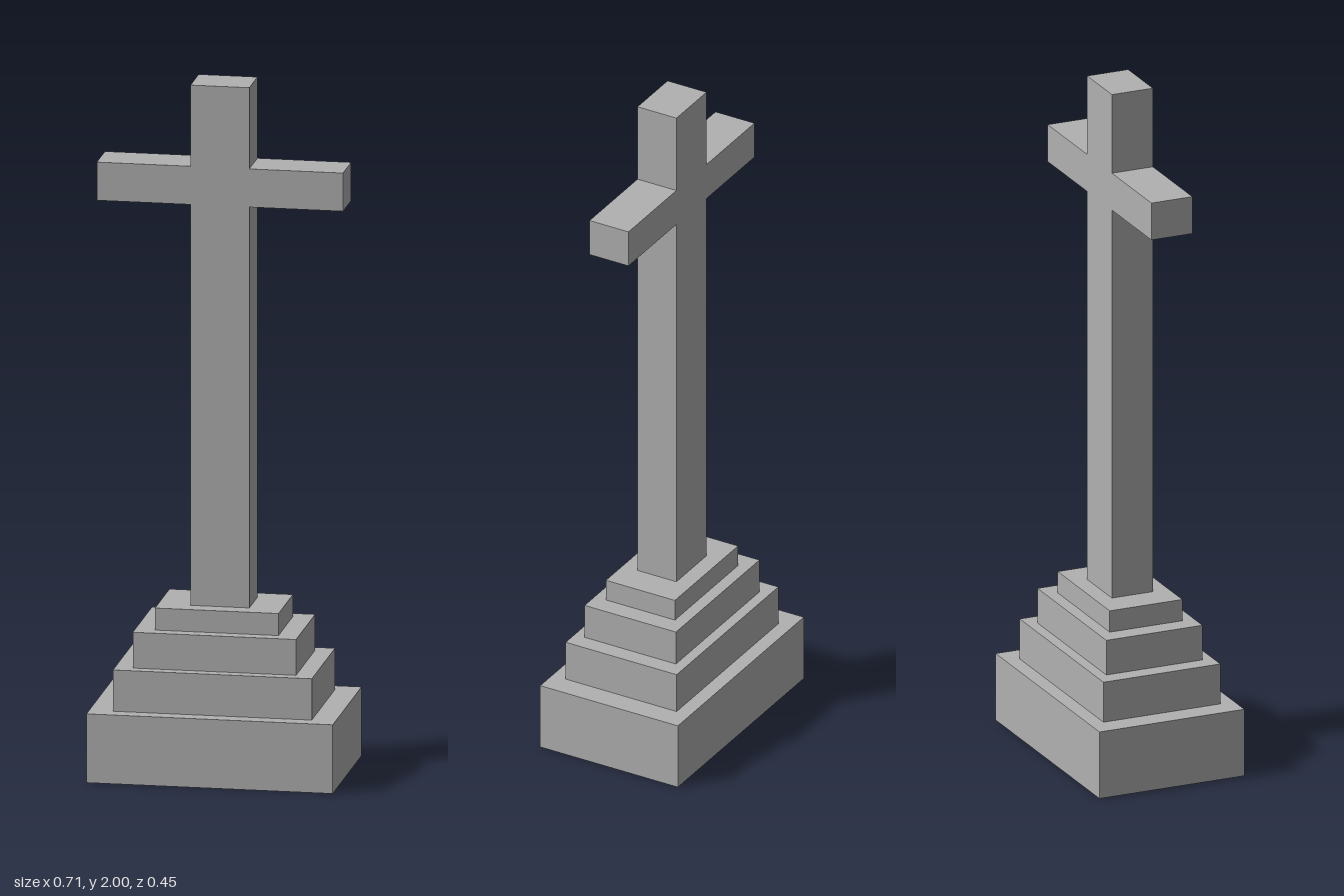
import * as THREE from 'three';

export function createModel() {
  const model = new THREE.Group();
  const stone = new THREE.MeshStandardMaterial({ color: 0xb0b0b0 });
  stone.name = 'grey stone';

  const add = (geometry, name) => {
    const mesh = new THREE.Mesh(geometry, stone);
    mesh.name = name;
    model.add(mesh);
    return mesh;
  };

  // Stepped pedestal: half width, half depth, bottom, top
  const steps = [
    [0.353, 0.2245, 0, 0.2],
    [0.285, 0.181, 0.2, 0.32],
    [0.234, 0.149, 0.32, 0.424],
    [0.177, 0.1125, 0.424, 0.488],
  ];
  steps.forEach(([hx, hz, y0, y1], i) => {
    add(new THREE.BoxGeometry(hx * 2, y1 - y0, hz * 2), `pedestalStep${i + 1}`)
      .position.y = (y0 + y1) / 2;
  });

  // Cross: one outline, mirrored about the centre line, extruded in depth
  const half = [[0.0843, 0.488], [0.0843, 1.653], [0.353, 1.653], [0.353, 1.764], [0.0843, 1.764], [0.0843, 2]];
  const mirrored = half.map(([x, y]) => [-x, y]).reverse();
  const outline = new THREE.Shape([...half, ...mirrored].map(([x, y]) => new THREE.Vector2(x, y)));
  const depth = 0.127;
  const cross = new THREE.ExtrudeGeometry(outline, { depth, bevelEnabled: false });
  cross.translate(0, 0, -depth / 2);
  add(cross, 'cross');

  return model;
}
